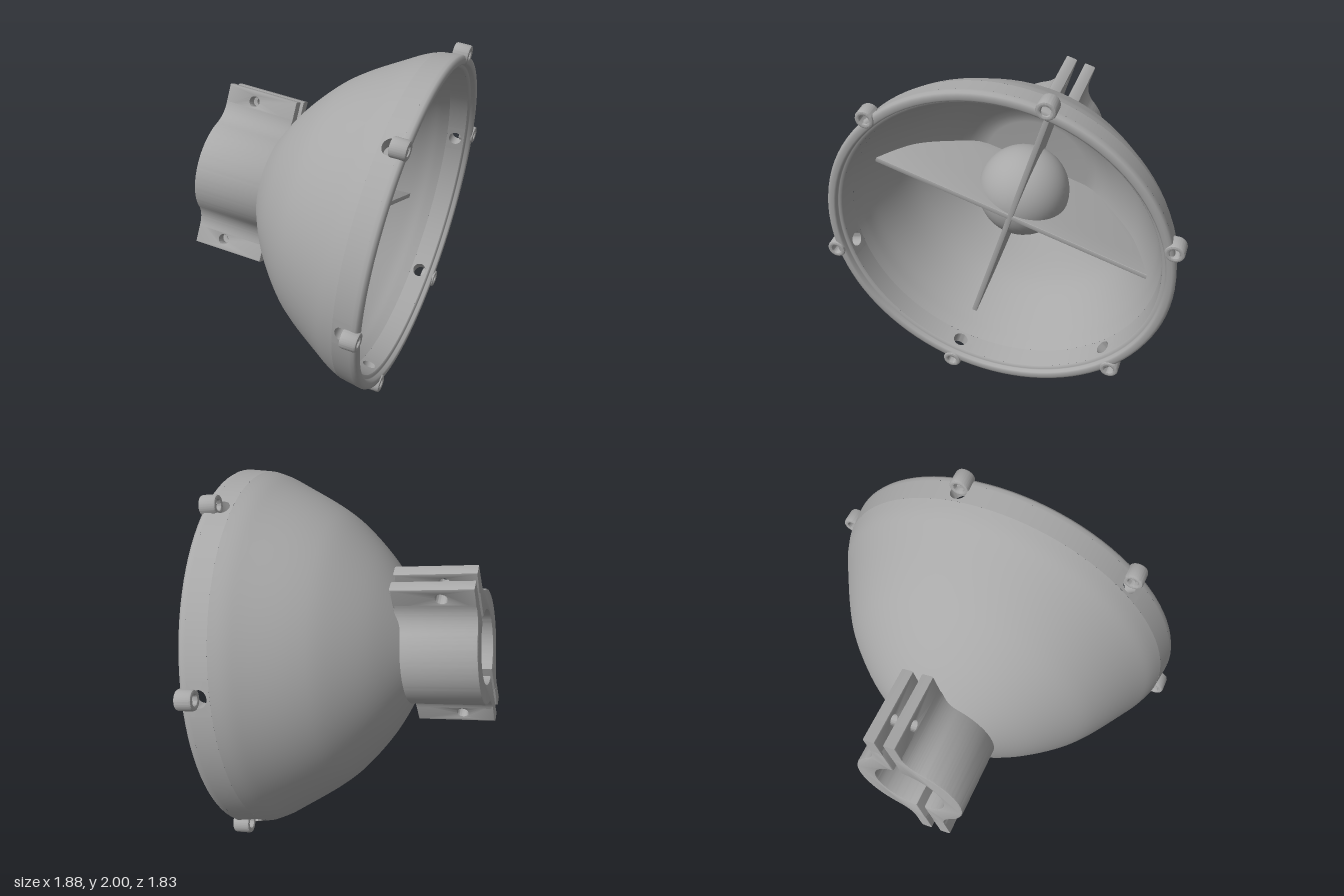
import * as THREE from 'three';
import { toCreasedNormals } from 'three/addons/utils/BufferGeometryUtils.js';

const V2 = (x, y) => new THREE.Vector2(x, y);

// Profile points are [radius, depth behind the rim plane]; the dish axis is local +z.
const OUTER = [[0, 1.02], [0.16, 0.99], [0.31, 0.92], [0.5, 0.8], [0.68, 0.64], [0.79, 0.5], [0.91, 0.3], [0.955, 0.22], [0.983, 0.15]];
const INNER = [[0.905, 0.15], [0.885, 0.2], [0.845, 0.3], [0.735, 0.5], [0.63, 0.62], [0.47, 0.75]];
const RIM = [[0.998, 0.04], [1.0, 0.02], [0.994, 0.006], [0.98, 0], [0.958, 0], [0.948, 0.006], [0.944, 0.026], [0.94, 0.03], [0.928, 0.03], [0.922, 0.04]];
const BAND = { t0: 0.04, t1: 0.15, half: 0.09 };

export function createModel() {
  const grey = new THREE.MeshStandardMaterial({ color: 0xa8a8a8 });
  grey.name = 'satin grey';

  const root = new THREE.Group();
  root.name = 'dishReflector';
  const body = new THREE.Group();
  body.name = 'dishAssembly';
  root.add(body);

  // Tilted frame: z looks out of the dish, y points to the upper lug
  const n = new THREE.Vector3(0.819, -0.15, 0.554).normalize();
  const up = new THREE.Vector3(0.293, 0.94, -0.179);
  up.addScaledVector(n, -up.dot(n)).normalize();
  const side = new THREE.Vector3().crossVectors(up, n);
  body.quaternion.setFromRotationMatrix(new THREE.Matrix4().makeBasis(side, up, n));
  body.position.set(0.32, 1, 0.055);

  const add = (name, geometry, parent = body) => {
    const mesh = new THREE.Mesh(geometry, grey);
    mesh.name = name;
    parent.add(mesh);
    return mesh;
  };
  const smooth = (pts, count) => new THREE.SplineCurve(pts.map(([r, t]) => V2(r, -t)))
    .getPoints(count).map((p) => V2(Math.max(p.x, 0), p.y));
  const lathe = (pts, segments = 96, start = 0, length = Math.PI * 2) =>
    new THREE.LatheGeometry(pts, segments, start, length).rotateX(Math.PI / 2);
  const extrude = (shape, depth, bevel = 0) => toCreasedNormals(new THREE.ExtrudeGeometry(shape, {
    depth: depth - 2 * bevel, curveSegments: 32, bevelEnabled: bevel > 0,
    bevelSize: bevel, bevelThickness: bevel, bevelOffset: -bevel, bevelSegments: 2,
  }).translate(0, 0, bevel), 0.6);

  // Bowl shell, floor and rim lip
  add('bowlOuter', lathe(smooth(OUTER, 40)));
  add('bowlInner', lathe(smooth(INNER, 30)));
  add('bowlFloor', lathe([[0.47, 0.75], [0.43, 0.78], [0.38, 0.81], [0.32, 0.825], [0, 0.83]].map(([r, t]) => V2(r, -t))));
  add('rimLip', lathe(RIM.map(([r, t]) => V2(r, -t))));

  // Band behind the rim: plain arcs between six pierced patches
  const rOut = (t) => 0.998 - (t - 0.04) * 0.015 / 0.11;
  const rIn = (t) => 0.922 - (t - 0.04) * 0.017 / 0.11;
  const patch = piercedPatch(rOut, rIn);
  const { t0, t1, half } = BAND;
  const arc = Math.PI / 3 - 2 * half;
  for (let k = 0; k < 6; k++) {
    const start = k * Math.PI / 3 + half;
    add('bandOuter', lathe([V2(rOut(t1), -t1), V2(rOut(t0), -t0)], 14, start, arc));
    add('bandInner', lathe([V2(rIn(t0), -t0), V2(rIn(t1), -t1)], 14, start, arc));
    add('piercedPatch', patch).rotation.z = k * Math.PI / 3;
  }

  // Six screw lugs around the rim
  const lugShape = new THREE.Shape().absarc(0, 0, 0.054, 0, Math.PI * 2);
  lugShape.holes.push(new THREE.Path().absarc(0, 0, 0.026, 0, Math.PI * 2, true));
  const lugGeometry = extrude(lugShape, 0.095, 0.012).translate(1.004, 0, -0.085);
  for (let k = 0; k < 6; k++) {
    add('screwLug', lugGeometry).rotation.z = Math.PI / 2 + k * Math.PI / 3;
  }

  // Crossed blades reaching from the centre to the bowl wall
  const edge = [[0.865, 0.3], [0.8, 0.43], [0.755, 0.51], [0.65, 0.63], [0.49, 0.76], [0.35, 0.85]];
  const bladeShape = new THREE.Shape([
    ...edge.map(([r, t]) => V2(r, -t)),
    ...edge.slice().reverse().map(([r, t]) => V2(-r, -t)),
  ]);
  const bladeGeometry = extrude(bladeShape, 0.032, 0.006).translate(0, 0, -0.016).rotateX(Math.PI / 2);
  for (let k = 0; k < 2; k++) add('crossBlade', bladeGeometry).rotation.z = k * Math.PI / 2;

  // Ball at the middle of the dish
  add('centreBall', new THREE.SphereGeometry(0.27, 48, 32)).position.z = -0.58;

  // Split clamp on the back: two mirrored jaws with bolt ears
  const gap = 0.025, bore = 0.2, outer = 0.31, ear = 0.095, back = 1.325, front = 0.89;
  const a = 1.0, b = Math.acos(gap / bore);
  const jaw = new THREE.Shape();
  jaw.moveTo(gap, -0.39);
  jaw.lineTo(ear, -0.39);
  jaw.quadraticCurveTo(ear, -0.31, outer * Math.cos(a), -outer * Math.sin(a));
  jaw.absarc(0, 0, outer, -a, a, false);
  jaw.quadraticCurveTo(ear, 0.31, ear, 0.39);
  jaw.lineTo(gap, 0.39);
  jaw.lineTo(gap, bore * Math.sin(b));
  jaw.absarc(0, 0, bore, b, -b, true);
  jaw.closePath();
  const jawGeometry = extrude(jaw, back - front, 0.01).translate(0, 0, -back);

  // Ear plate with a bolt hole, drawn as (axial, radial) and turned to face sideways
  const plate = new THREE.Shape([V2(front, 0.36), V2(back, 0.36), V2(back, 0.495), V2(front, 0.495)]);
  plate.holes.push(new THREE.Path().absarc(1.15, 0.43, 0.03, 0, Math.PI * 2, true));
  const earGeometry = extrude(plate, ear - gap, 0.008).rotateY(Math.PI / 2).translate(gap, 0, 0);

  for (let k = 0; k < 2; k++) {
    const halfClamp = new THREE.Group();
    halfClamp.name = 'clampHalf';
    halfClamp.rotation.z = k * Math.PI;
    body.add(halfClamp);
    add('clampJaw', jawGeometry, halfClamp);
    add('clampEar', earGeometry, halfClamp);
    add('clampEar', earGeometry, halfClamp).rotation.z = Math.PI;
    halfClamp.children[2].position.x = ear + gap;
  }
  return root;
}

// Curved wall patch with an oval hole: outer skin, inner skin and hole wall
function piercedPatch(rOut, rIn) {
  const { t0, t1, half } = BAND, mid = (t0 + t1) / 2, ht = (t1 - t0) / 2, N = 32;
  const at = (r, phi, t) => [r(t) * Math.sin(phi), -r(t) * Math.cos(phi), -t];
  const hole = (r, i) => {
    const q = i / N * Math.PI * 2;
    return at(r, 0.047 * Math.cos(q), mid + 0.04 * Math.sin(q));
  };
  const frame = (r, i) => {
    const q = i / N * Math.PI * 2, c = Math.cos(q), s = Math.sin(q);
    const m = Math.max(Math.abs(c), Math.abs(s));
    return at(r, half * c / m, mid + ht * s / m);
  };
  const pos = [];
  const quad = (p, q, r, s) => pos.push(...p, ...q, ...r, ...p, ...r, ...s);
  for (let i = 0; i < N; i++) {
    const j = i + 1;
    quad(hole(rIn, i), frame(rIn, i), frame(rIn, j), hole(rIn, j));
    quad(hole(rOut, j), frame(rOut, j), frame(rOut, i), hole(rOut, i));
    quad(hole(rOut, i), hole(rIn, i), hole(rIn, j), hole(rOut, j));
  }
  const geometry = new THREE.BufferGeometry();
  geometry.setAttribute('position', new THREE.Float32BufferAttribute(pos, 3));
  return toCreasedNormals(geometry, 0.6);
}
